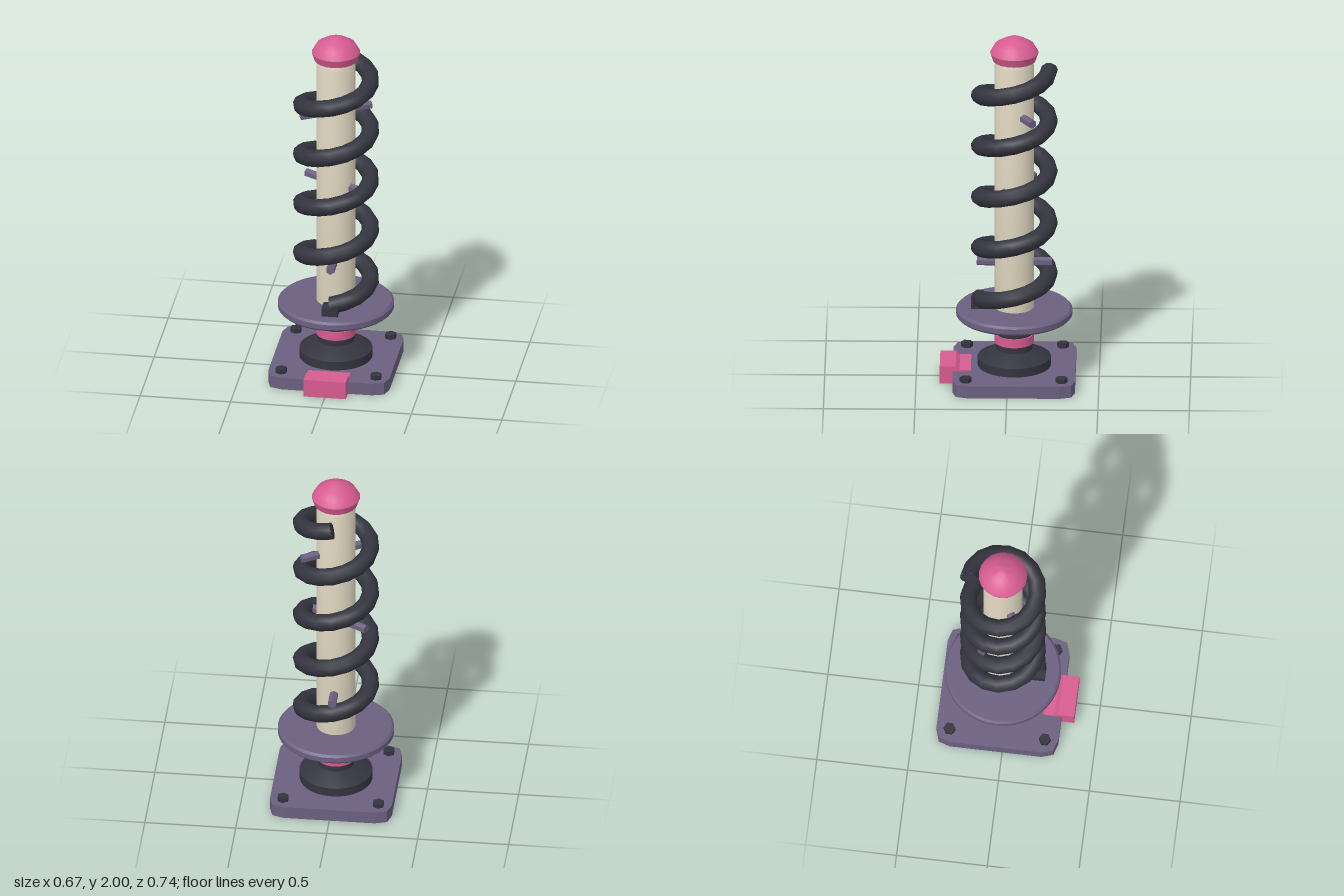
import * as THREE from 'three';
import { toCreasedNormals } from 'three/addons/utils/BufferGeometryUtils.js';

const mat = (name, color) => new THREE.MeshStandardMaterial({ name, color });

export function createModel() {
  const purple = mat('purple metal', 0x6b6080);
  const dark = mat('dark steel', 0x34343f);
  const pink = mat('pink paint', 0xd65c90);
  const cream = mat('cream paint', 0xd9d0ba);

  const model = new THREE.Group();
  model.name = 'springPost';
  const post = new THREE.Group(); // everything centred on the post axis
  post.name = 'post';
  post.position.z = -0.036;
  model.add(post);

  const add = (name, geometry, material, parent = post) => {
    const mesh = new THREE.Mesh(geometry, material);
    mesh.name = name;
    parent.add(mesh);
    return mesh;
  };
  // turned part from [radius, height] pairs, bottom to top
  const turned = (name, points, material, sides = 32) => {
    const profile = points.map(([r, y]) => new THREE.Vector2(r, y));
    return add(name, toCreasedNormals(new THREE.LatheGeometry(profile, sides), 0.55), material);
  };

  // base plate with clipped corners
  const corner = [[0.335, 0.25], [0.315, 0.315], [0.25, 0.335]];
  const outline = [];
  for (let q = 0; q < 4; q++) {
    const c = Math.round(Math.cos(q * Math.PI / 2)), s = Math.round(Math.sin(q * Math.PI / 2));
    for (const [x, y] of corner) outline.push(new THREE.Vector2(x * c - y * s, x * s + y * c));
  }
  const plate = new THREE.ExtrudeGeometry(new THREE.Shape(outline), { depth: 0.07, bevelEnabled: false });
  plate.rotateX(-Math.PI / 2);
  add('basePlate', plate, purple);

  // corner bolts
  for (const x of [-0.262, 0.262]) {
    for (const z of [-0.262, 0.262]) {
      const bolt = add('bolt', toCreasedNormals(new THREE.CylinderGeometry(0.033, 0.033, 0.035, 6), 0.5), dark);
      bolt.position.set(x, 0.0775, z);
    }
  }

  // front pedal: block with a low tongue running over the plate
  const pedalShape = new THREE.Shape([
    [0.37, 0], [0.37, 0.1], [0.283, 0.1], [0.262, 0.08], [0.2, 0.08], [0.2, 0.03], [0.28, 0.03], [0.28, 0],
  ].map(([z, y]) => new THREE.Vector2(z, y)));
  const pedalGeometry = new THREE.ExtrudeGeometry(pedalShape, { depth: 0.234, bevelEnabled: false });
  pedalGeometry.translate(0, 0, -0.117);
  pedalGeometry.rotateY(-Math.PI / 2);
  add('pedal', pedalGeometry, pink, model);

  // stem, collar, spring seat, column and cap
  turned('stem', [[0, 0.069], [0.2, 0.069], [0.2, 0.12], [0.12, 0.16], [0.1, 0.168], [0.1, 0.37]], dark);
  turned('collar', [[0.098, 0.205], [0.108, 0.205], [0.108, 0.255], [0.098, 0.255]], pink);
  turned('springSeat', [[0, 0.357], [0.306, 0.357], [0.318, 0.369], [0.318, 0.398], [0.306, 0.41], [0, 0.41]], purple, 40);
  turned('column', [[0.107, 0.408], [0.107, 1.83], [0.094, 1.86], [0, 1.86]], cream);
  turned('cap', [[0, 1.86], [0.118, 1.86], [0.133, 1.905], [0.107, 1.95], [0.07, 1.973], [0.03, 1.993], [0, 2]], pink, 20);

  // coil spring
  class Helix extends THREE.Curve {
    getPoint(t, target = new THREE.Vector3()) {
      const a = t * 4.5 * Math.PI * 2;
      return target.set(0.19 * Math.sin(a), 0.458 + 0.2985 * 4.5 * t, 0.19 * Math.cos(a));
    }
  }
  const helix = new Helix();
  const wire = 0.048;
  add('spring', new THREE.TubeGeometry(helix, 72, wire, 10), dark);
  for (const t of [0, 1]) {
    const end = add('springEnd', new THREE.CircleGeometry(wire, 10), dark);
    const out = helix.getTangent(t).multiplyScalar(t ? 1 : -1);
    end.quaternion.setFromUnitVectors(new THREE.Vector3(0, 0, 1), out);
    end.position.copy(helix.getPoint(t));
  }
  const stop = add('springStop', new THREE.BoxGeometry(0.09, 0.05, 0.09), dark);
  stop.position.set(0, 0.43, 0.19);

  // cross pins through the column: [height, heading]
  for (const [y, angle] of [[0.675, 0], [1.113, Math.PI / 3], [1.55, -Math.PI / 3]]) {
    const pin = new THREE.CylinderGeometry(0.025, 0.025, 0.41, 6);
    pin.rotateX(Math.PI / 2);
    const mesh = add('crossPin', toCreasedNormals(pin, 0.5), purple);
    mesh.rotation.y = angle;
    mesh.position.y = y;
  }
  return model;
}
